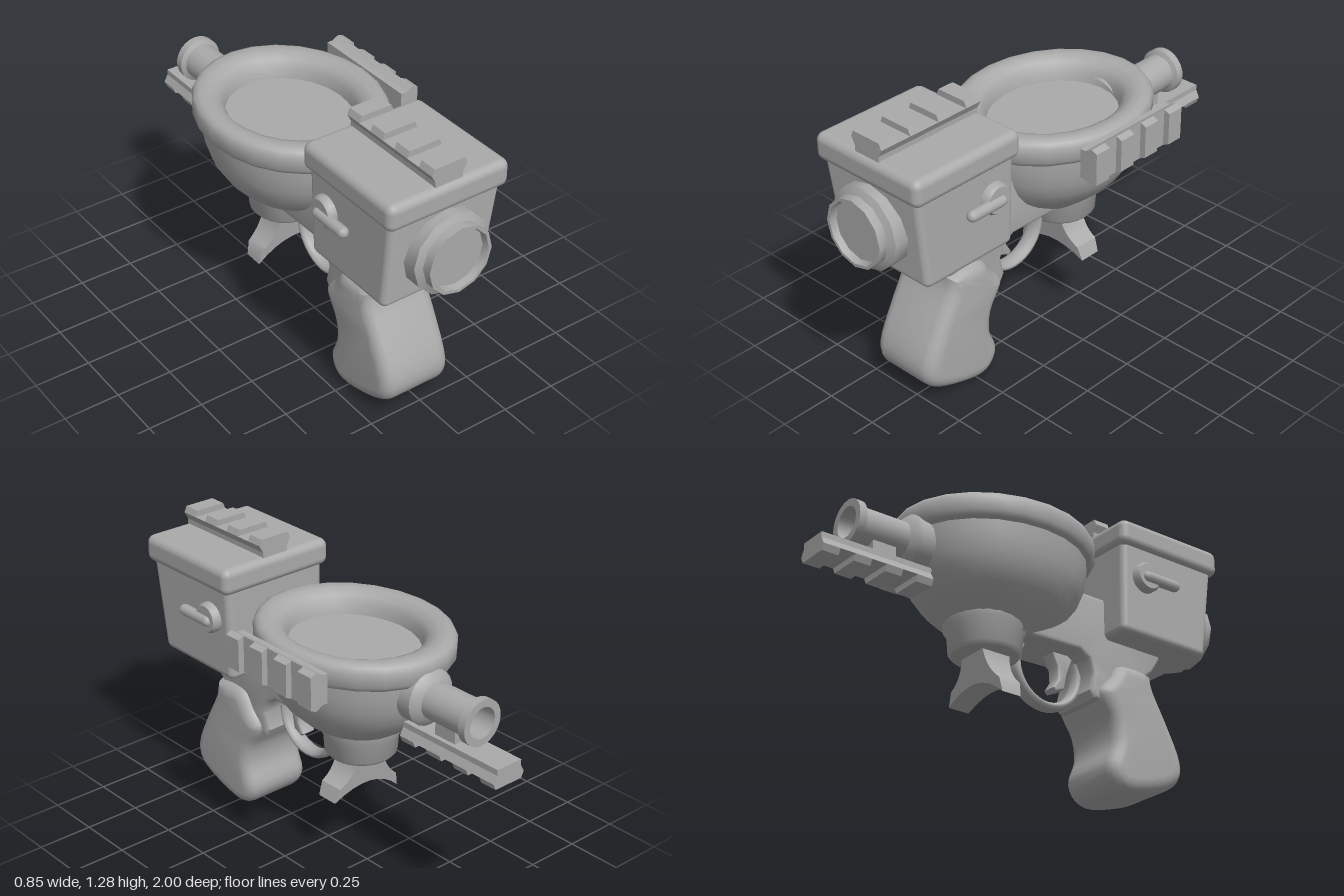
import * as THREE from 'three';
import { toCreasedNormals } from 'three/addons/utils/BufferGeometryUtils.js';
import { RoundedBoxGeometry } from 'three/addons/geometries/RoundedBoxGeometry.js';

const grey = new THREE.MeshStandardMaterial({ color: 0xaaaaaa });
grey.name = 'plain grey';

function part(name, geometry, parent) {
  const mesh = new THREE.Mesh(geometry, grey);
  mesh.name = name;
  parent.add(mesh);
  return mesh;
}

const vectors = (points) => points.map(([a, b]) => new THREE.Vector2(a, b));
const smooth = (geometry, angle = 0.7) => toCreasedNormals(geometry, angle);

// Turned shape about y; profile runs up the outside
function lathe(points, sides = 24) {
  return new THREE.LatheGeometry(vectors(points), sides);
}

// Side outline given as (z, y), thickened along x with rounded edges
function sideSlab(points, width, bevel, spline) {
  let outline = vectors(points);
  if (spline) outline = new THREE.SplineCurve([...outline, outline[0]]).getPoints(48).slice(0, -1);
  const depth = width - 2 * bevel;
  const geometry = new THREE.ExtrudeGeometry(new THREE.Shape(outline), {
    depth, bevelEnabled: bevel > 0, bevelSize: bevel, bevelThickness: bevel,
    bevelOffset: -bevel, bevelSegments: 4,
  });
  geometry.translate(0, 0, -depth / 2).rotateY(-Math.PI / 2);
  return smooth(geometry);
}

// Toothed accessory rail: base on y = 0, running along z
function rail(name, parent) {
  const group = new THREE.Group();
  group.name = name;
  const bar = (points, length) => {
    const mirrored = [...points, ...points.map(([x, y]) => [-x, y]).reverse()];
    return new THREE.ExtrudeGeometry(new THREE.Shape(vectors(mirrored)),
      { depth: length, bevelEnabled: false }).translate(0, 0, -length / 2);
  };
  part('railBase', bar([[0.065, 0], [0.065, 0.025], [0.083, 0.058]], 0.52), group);
  for (let i = 0; i < 4; i++) {
    const tooth = part('railTooth', bar([[0.079, 0.05], [0.083, 0.058], [0.071, 0.085]], 0.077), group);
    tooth.position.z = (i - 1.5) * 0.1475;
  }
  parent.add(group);
  return group;
}

export function createModel() {
  const model = new THREE.Group();
  model.name = 'toiletBlaster';
  const body = new THREE.Group();
  body.name = 'body';
  body.position.x = -0.04;
  model.add(body);

  // Tank, narrower and shorter towards the bottom
  const tank = new RoundedBoxGeometry(0.53, 0.46, 0.525, 4, 0.03);
  const p = tank.attributes.position;
  for (let i = 0; i < p.count; i++) {
    const down = (0.23 - p.getY(i)) / 0.46;
    p.setX(i, p.getX(i) * (1 - 0.055 * down));
    if (p.getZ(i) > 0) p.setZ(i, p.getZ(i) - 0.055 * down);
  }
  part('tank', tank, body).position.set(0, 0.91, 0.648);
  part('tankLid', new RoundedBoxGeometry(0.573, 0.12, 0.56, 4, 0.035), body).position.set(0, 1.145, 0.648);

  // Round twelve-sided eyepiece with a recessed disc
  const eyepiece = lathe([[0.18, 0], [0.18, 0.075], [0.15, 0.09], [0.15, 0.13],
    [0.136, 0.13], [0.13, 0.1], [0, 0.1]], 12).rotateX(Math.PI / 2);
  part('eyepiece', smooth(eyepiece, 0.6), body).position.set(0, 0.9, 0.87);

  // Flush levers, one on each side of the tank
  for (const side of [-1, 1]) {
    const lever = new THREE.Group();
    lever.name = side > 0 ? 'leftLever' : 'rightLever';
    const knob = lathe([[0.068, 0], [0.068, 0.05], [0.058, 0.065], [0, 0.065]]).rotateZ(-side * Math.PI / 2);
    part('leverKnob', smooth(knob), lever).position.set(side * 0.232, 0.952, 0.505);
    const handle = part('leverHandle', new THREE.CapsuleGeometry(0.025, 0.155, 5, 12), lever);
    handle.rotation.x = Math.PI / 2;
    handle.position.set(side * 0.292, 0.945, 0.57);
    body.add(lever);
  }

  // Oval seat, bowl and water
  const oval = (geometry) => smooth(geometry.scale(0.847, 1, 1), 0.75);
  const seat = lathe([[0.41, 0.945], [0.44, 0.955], [0.455, 0.975], [0.457, 1.035], [0.445, 1.056],
    [0.42, 1.067], [0.375, 1.065], [0.335, 1.048], [0.307, 1.015], [0.3, 0.95]]);
  part('seat', oval(seat), body).position.z = -0.115;
  const bowl = lathe([[0.17, 0.59], [0.205, 0.615], [0.265, 0.655], [0.33, 0.71], [0.375, 0.77],
    [0.4, 0.83], [0.415, 0.9], [0.42, 0.96]]);
  part('bowl', oval(bowl), body).position.z = -0.115;
  const water = new THREE.CircleGeometry(0.305, 32).rotateX(-Math.PI / 2).scale(0.84, 1, 1);
  part('water', water, body).position.set(0, 0.97, -0.12);
  const neck = lathe([[0, 0.488], [0.14, 0.488], [0.155, 0.505], [0.16, 0.58], [0.176, 0.605], [0.176, 0.66]]);
  part('bowlNeck', smooth(neck), body).position.z = -0.16;

  // Flared spout under the bowl, thinner towards its two tips
  const spout = new THREE.Shape();
  spout.moveTo(-0.07, 0.5);
  spout.quadraticCurveTo(-0.08, 0.4, -0.162, 0.335);
  spout.lineTo(-0.175, 0.27);
  spout.quadraticCurveTo(-0.02, 0.42, 0.185, 0.315);
  spout.lineTo(0.162, 0.375);
  spout.quadraticCurveTo(0.085, 0.41, 0.07, 0.5);
  const fan = new THREE.ExtrudeGeometry(spout, { depth: 0.14, bevelEnabled: false, curveSegments: 8 });
  fan.translate(0, 0, -0.07);
  const f = fan.attributes.position;
  for (let i = 0; i < f.count; i++) f.setZ(i, f.getZ(i) * (0.65 + 1.5 * (f.getY(i) - 0.27)));
  part('spout', smooth(fan), body).position.z = -0.155;

  // Hollow barrel pointing backwards from the bowl
  const barrel = lathe([[0.12, 0.4], [0.12, 0.565], [0.105, 0.582], [0.08, 0.595], [0.08, 0.805],
    [0.1, 0.815], [0.1, 0.85], [0.068, 0.85], [0.068, 0.68], [0, 0.68]]).rotateX(-Math.PI / 2);
  part('barrel', smooth(barrel, 0.6), body).position.y = 0.893;
  part('railMount', new THREE.BoxGeometry(0.09, 0.08, 0.11), body).position.set(0, 0.795, -0.695);

  // Frame joining tank, grip and bowl
  part('frame', sideSlab([[0.72, 0.72], [0.7, 0.665], [0.66, 0.6], [0.6, 0.55], [0.58, 0.42], [0.4, 0.39],
    [0.325, 0.395], [0.305, 0.43], [0.325, 0.51], [0.3, 0.57], [0.25, 0.597], [0, 0.59],
    [-0.1, 0.62], [-0.1, 0.85], [0.2, 0.873], [0.41, 0.873], [0.44, 0.75]], 0.25, 0.02, false), body);

  // Pistol grip
  part('grip', sideSlab([[0.63, 0.565], [0.64, 0.5], [0.715, 0.36], [0.78, 0.22], [0.78, 0.13],
    [0.72, 0.07], [0.6, 0.025], [0.48, 0.003], [0.41, 0.035], [0.38, 0.11], [0.415, 0.21],
    [0.405, 0.31], [0.36, 0.385], [0.345, 0.44], [0.4, 0.5], [0.45, 0.57], [0.55, 0.58]], 0.33, 0.055, true), body);

  // Trigger and its guard
  const guard = new THREE.TorusGeometry(0.162, 0.019, 10, 32).rotateY(Math.PI / 2).scale(2, 1, 1);
  part('triggerGuard', guard, body).position.set(0, 0.512, 0.155);
  part('trigger', sideSlab([[0.29, 0.61], [0.25, 0.51], [0.235, 0.44], [0.19, 0.42], [0.175, 0.435],
    [0.203, 0.48], [0.2, 0.54], [0.165, 0.61]], 0.07, 0.01, false), body);

  // Rails on the lid, beside the seat and under the barrel
  rail('topRail', body).position.set(0, 1.202, 0.648);
  const sideRail = rail('sideRail', body);
  sideRail.position.set(0.382, 0.993, -0.123);
  sideRail.rotation.z = -Math.PI / 2;
  const lowerRail = rail('lowerRail', body);
  lowerRail.position.set(0, 0.775, -0.74);
  lowerRail.rotation.z = Math.PI;

  return model;
}
